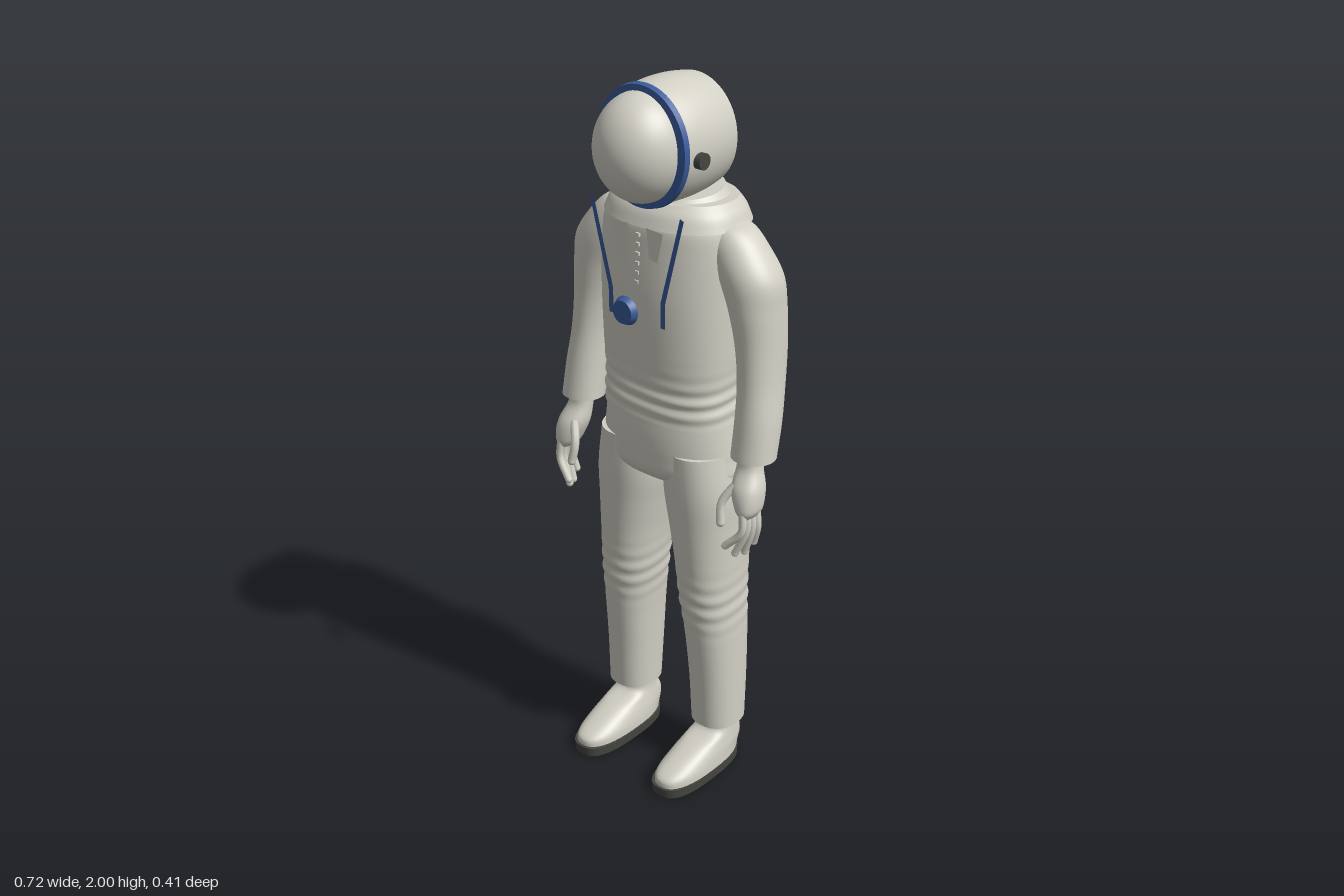
import * as THREE from 'three';

const mat = (name, color, side = THREE.FrontSide) => {
  const m = new THREE.MeshStandardMaterial({ color, side });
  m.name = name;
  return m;
};

// Smooth loft through horizontal rings, listed top to bottom:
// [y, centreX, radiusX, zFront, zBack]. fold(y, angle) adds cloth wrinkles.
function loft(rings, { n = 2, rows = 6, seg = 40, side = 1, tilt = 0, fold = () => 0 } = {}) {
  const V = (a, b, c) => new THREE.Vector3(a, b, c);
  const centre = new THREE.CatmullRomCurve3(
    rings.map(r => V(r[1] * side, r[0], (r[3] + r[4]) / 2)), false, 'catmullrom', 0.5);
  const radius = new THREE.CatmullRomCurve3(
    rings.map(r => V(r[2], (r[3] - r[4]) / 2, 0)), false, 'catmullrom', 0.5);
  const count = (rings.length - 1) * rows;
  const pos = [], idx = [];
  const power = v => Math.sign(v) * Math.pow(Math.abs(v), 2 / n);
  const row = t => {
    const c = centre.getPoint(t), r = radius.getPoint(t);
    for (let j = 0; j <= seg; j++) {
      const a = (j % seg) / seg * Math.PI * 2;
      const f = fold(c.y, a);
      const z = power(Math.sin(a)) * (r.y + f);
      pos.push(c.x + power(Math.cos(a)) * (r.x + f), c.y - z * tilt, c.z + z);
    }
    return c;
  };
  for (let i = 0; i <= count; i++) row(i / count);
  const w = seg + 1;
  for (let i = 0; i < count; i++) for (let j = 0; j < seg; j++) {
    const a = i * w + j, b = a + 1, c = a + w, d = c + 1;
    idx.push(a, b, c, b, d, c);
  }
  // End caps with their own vertices, so the rims stay crisp
  for (const t of [0, 1]) {
    const start = pos.length / 3;
    const c = row(t);
    pos.push(c.x, c.y, c.z);
    const mid = start + w;
    for (let j = 0; j < seg; j++) {
      if (t === 0) idx.push(mid, start + j + 1, start + j);
      else idx.push(mid, start + j, start + j + 1);
    }
  }
  const g = new THREE.BufferGeometry();
  g.setAttribute('position', new THREE.Float32BufferAttribute(pos, 3));
  g.setIndex(idx);
  g.computeVertexNormals();
  // Join the shading across the seam
  const nor = g.attributes.normal;
  for (let i = 0; i <= count; i++) {
    const a = i * w, b = a + seg;
    const v = V(nor.getX(a) + nor.getX(b), nor.getY(a) + nor.getY(b), nor.getZ(a) + nor.getZ(b)).normalize();
    nor.setXYZ(a, v.x, v.y, v.z);
    nor.setXYZ(b, v.x, v.y, v.z);
  }
  return g;
}

// Turned shape around the z axis: points are [radius, z], back to front
const turned = pts => new THREE.LatheGeometry(
  pts.map(p => new THREE.Vector2(p[0], p[1])), 64).rotateX(Math.PI / 2);

export function createModel() {
  const root = new THREE.Group();
  root.name = 'suitedFigure';
  const cloth = mat('paleCloth', 0xd2d0c5);
  const clothPlate = mat('paleClothPlate', 0xd2d0c5, THREE.DoubleSide);
  const blue = mat('blueTrim', 0x3a5c9c, THREE.DoubleSide);
  const dark = mat('darkRubber', 0x454540);
  const add = (name, geo, m, parent = root) => {
    const mesh = new THREE.Mesh(geo, m);
    mesh.name = name;
    parent.add(mesh);
    return mesh;
  };
  // A band of soft wrinkles around height y0
  const folds = (y0, spread, amp, freq) => (y, a) =>
    amp * Math.sin(y * freq + Math.sin(a * 2)) * Math.exp(-(((y - y0) / spread) ** 2));

  // Jacket, collar and trousers seat
  add('jacket', loft([
    [1.69, 0, 0.15, 0.06, -0.17], [1.65, 0, 0.19, 0.09, -0.19], [1.58, 0, 0.203, 0.1, -0.202],
    [1.45, 0, 0.203, 0.108, -0.203], [1.3, 0, 0.2, 0.103, -0.19],
    [1.2, 0, 0.195, 0.096, -0.175], [1.15, 0, 0.198, 0.096, -0.178], [1.1, 0, 0.203, 0.096, -0.19],
  ], { n: 2.4, rows: 12, seg: 56, fold: folds(1.17, 0.06, 0.003, 150) }), cloth);
  add('collarYoke', loft([
    [1.7, 0, 0.165, 0.065, -0.18], [1.675, 0, 0.188, 0.085, -0.195], [1.64, 0, 0.204, 0.1, -0.207],
  ], { n: 2.2, seg: 56 }), cloth);
  add('collarNeck', loft([
    [1.715, 0, 0.125, 0.055, -0.165], [1.69, 0, 0.145, 0.07, -0.172], [1.66, 0, 0.168, 0.078, -0.18],
  ], { tilt: 0.1, seg: 56 }), cloth);
  add('trousersSeat', loft([
    [1.12, 0, 0.196, 0.09, -0.182], [1.06, 0, 0.206, 0.094, -0.198], [1.0, 0, 0.215, 0.093, -0.202],
    [0.95, 0, 0.218, 0.086, -0.19], [0.915, 0, 0.17, 0.05, -0.14], [0.9, 0, 0.08, 0.0, -0.09],
  ], { n: 2.3, seg: 56 }), cloth);

  // Helmet
  const helmet = new THREE.Group();
  helmet.name = 'helmet';
  helmet.position.y = 1.842;
  root.add(helmet);
  const shell = new THREE.SplineCurve([[0.147, -0.12], [0.155, -0.07], [0.158, -0.02], [0.156, 0.03], [0.148, 0.08]]
    .map(p => new THREE.Vector2(...p))).getPoints(16).map(p => [p.x, p.y]);
  add('helmetShell', turned(shell), cloth, helmet).scale.x = 0.925;
  add('helmetBackCone', turned([[0, -0.173], [0.147, -0.12]]), cloth, helmet).scale.x = 0.925;
  for (const [i, p] of [
    [[0.147, 0.072], [0.158, 0.075]], [[0.158, 0.075], [0.155, 0.091]], [[0.155, 0.091], [0.13, 0.093]],
  ].entries()) add('visorRing' + (i + 1), turned(p), blue, helmet).scale.x = 0.92;
  const visor = add('visorDome', new THREE.SphereGeometry(1, 48, 32), cloth, helmet);
  visor.scale.set(0.122, 0.14, 0.122);
  visor.position.z = 0.085;

  // Chest disc, floating just ahead of the jacket
  const disc = add('chestDisc', new THREE.CylinderGeometry(0.031, 0.039, 0.017, 32).rotateX(Math.PI / 2), blue);
  disc.position.set(0, 1.43, 0.156);

  // Front zip teeth below the collar
  for (let i = 0; i < 6; i++) {
    add('zipTooth', new THREE.BoxGeometry(0.012, 0.009, 0.006), cloth)
      .position.set(0, 1.62 - i * 0.025, 0.102 + i * 0.001);
  }

  const plate = pts => new THREE.ShapeGeometry(new THREE.Shape(pts.map(p => new THREE.Vector2(...p))));
  for (const s of [1, -1]) {
    const part = s > 0 ? 'left' : 'right';

    // Strap, lapel and helmet knob
    add(part + 'Strap', plate([[0.142, 1.695], [0.154, 1.69], [0.095, 1.46], [0.094, 1.39], [0.079, 1.39], [0.08, 1.46]]
      .map(p => [p[0] * s, p[1]])), blue).position.z = 0.108;
    add(part + 'Lapel', plate([[0.03, 1.645], [0.085, 1.64], [0.066, 1.56], [0.04, 1.565]]
      .map(p => [p[0] * s, p[1]])), clothPlate).position.z = 0.105;
    const knob = add(part + 'HelmetKnob', new THREE.CylinderGeometry(0.021, 0.021, 0.026, 20).rotateZ(Math.PI / 2), dark);
    knob.position.set(0.146 * s, 1.824, 0.035);

    // Sleeve
    add(part + 'Sleeve', loft([
      [1.655, 0.165, 0.03, -0.02, -0.09], [1.64, 0.18, 0.055, 0.0, -0.11], [1.6, 0.2, 0.076, 0.018, -0.122],
      [1.53, 0.24, 0.083, 0.03, -0.132], [1.45, 0.262, 0.07, 0.028, -0.135], [1.35, 0.277, 0.06, 0.022, -0.13],
      [1.25, 0.287, 0.056, 0.025, -0.115], [1.15, 0.295, 0.059, 0.038, -0.09], [1.055, 0.298, 0.06, 0.052, -0.064],
    ], { side: s, n: 2.1 }), cloth);

    // Hand with four fingers and a thumb
    const hand = new THREE.Group();
    hand.name = part + 'Hand';
    root.add(hand);
    add('palm', loft([
      [1.07, 0.296, 0.034, 0.035, -0.035], [1.03, 0.298, 0.035, 0.04, -0.025], [0.98, 0.308, 0.042, 0.07, -0.02],
      [0.93, 0.318, 0.032, 0.078, -0.008], [0.905, 0.32, 0.016, 0.068, 0.002],
    ], { side: s, n: 2.3, seg: 24 }), cloth, hand);
    const digit = (name, pts, r) => add(name, new THREE.TubeGeometry(
      new THREE.CatmullRomCurve3(pts.map(p => new THREE.Vector3(p[0] * s, p[1], p[2]))), 10, r, 8), cloth, hand)
      && add(name + 'Tip', new THREE.SphereGeometry(r, 10, 8), cloth, hand)
        .position.set(pts[2][0] * s, pts[2][1], pts[2][2]);
    const tips = [[0.28, 0.82, 0.083], [0.297, 0.795, 0.062], [0.308, 0.793, 0.035], [0.318, 0.815, 0.01]];
    tips.forEach((t, i) => {
      const z = 0.067 - i * 0.019;
      digit('finger' + (i + 1), [[0.322, 0.93, z], [0.332 - 0.003 * (3 - i), 0.87, z + 0.004], t], 0.0105);
    });
    digit('thumb', [[0.285, 0.99, 0.05], [0.26, 0.94, 0.075], [0.265, 0.885, 0.085]], 0.012);

    // Trouser leg
    add(part + 'TrouserLeg', loft([
      [1.02, 0.11, 0.098, 0.082, -0.185], [0.9, 0.118, 0.108, 0.08, -0.172], [0.8, 0.126, 0.1, 0.074, -0.165],
      [0.7, 0.134, 0.091, 0.068, -0.157], [0.58, 0.141, 0.084, 0.06, -0.148], [0.45, 0.149, 0.077, 0.045, -0.145],
      [0.3, 0.154, 0.073, 0.03, -0.14], [0.15, 0.157, 0.07, 0.022, -0.132],
    ], { side: s, n: 2.3, rows: 14, fold: folds(0.56, 0.07, 0.0025, 130) }), cloth);

    // Shoe
    add(part + 'ShoeUpper', loft([
      [0.17, 0.153, 0.05, 0.0, -0.1], [0.125, 0.153, 0.052, 0.0, -0.112], [0.1, 0.152, 0.056, 0.07, -0.132],
      [0.075, 0.151, 0.061, 0.135, -0.137], [0.05, 0.15, 0.064, 0.185, -0.13], [0.024, 0.15, 0.065, 0.192, -0.122],
    ], { side: s, n: 2.5 }), cloth);
    add(part + 'ShoeSole', loft([
      [0.028, 0.149, 0.068, 0.199, -0.125], [0, 0.149, 0.067, 0.197, -0.124],
    ], { side: s, n: 2.7, rows: 1 }), dark);
  }
  return root;
}
